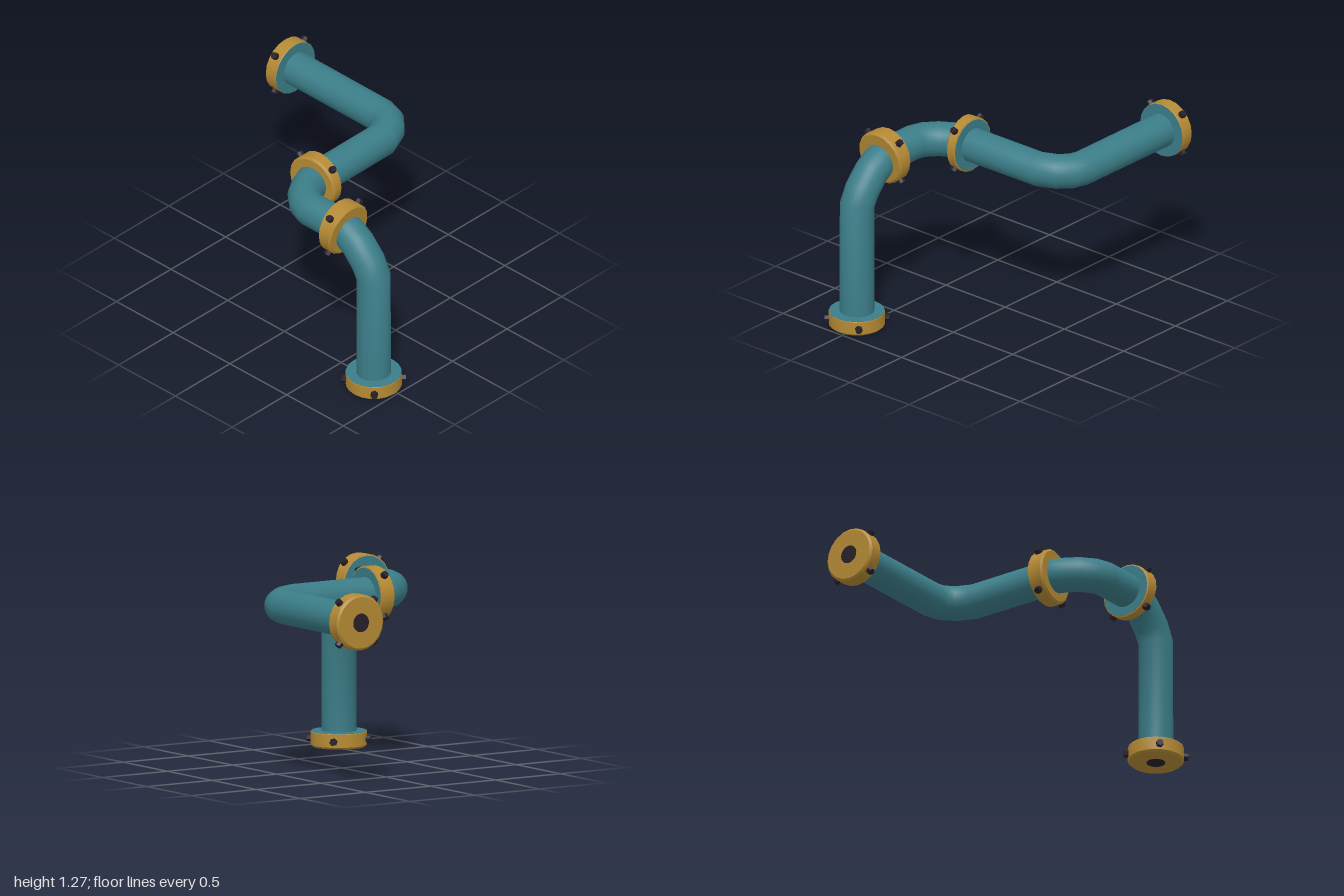
import * as THREE from 'three';
import { toCreasedNormals } from 'three/addons/utils/BufferGeometryUtils.js';

const teal = new THREE.MeshStandardMaterial({ color: 0x3b7d88 });
teal.name = 'tealPaint';
const gold = new THREE.MeshStandardMaterial({ color: 0xb58a34 });
gold.name = 'brass';
const dark = new THREE.MeshStandardMaterial({ color: 0x261f2a });
dark.name = 'darkIron';

const PIPE_R = 0.111, RIM_R = 0.18;

function part(name, geometry, material, parent) {
  const mesh = new THREE.Mesh(geometry, material);
  mesh.name = name;
  parent.add(mesh);
  return mesh;
}

// Curve with one ring per point, each ring mitred between its neighbours
class MitredPath extends THREE.Curve {
  constructor(points) {
    super();
    this.points = points;
  }
  getPointAt(u, target = new THREE.Vector3()) {
    return target.copy(this.points[Math.round(u * (this.points.length - 1))]);
  }
  getTangentAt(u, target = new THREE.Vector3()) {
    const p = this.points, i = Math.round(u * (p.length - 1));
    target.set(0, 0, 0);
    if (i > 0) target.add(p[i].clone().sub(p[i - 1]).normalize());
    if (i < p.length - 1) target.add(p[i + 1].clone().sub(p[i]).normalize());
    return target.normalize();
  }
}

// Flange with its back at local y = 0 and the pipe leaving along +y;
// lean slopes the back face along local z
function flange(name, { position, rotation = [0, 0, 0], thickness = 0.1, lean = 0, faceRadius = 0.178 }) {
  const group = new THREE.Group();
  group.name = name;
  group.position.set(...position);
  group.rotation.set(...rotation);

  // Brass rim, chamfered on the back
  const profile = [[0, 0], [0.166, 0], [RIM_R, 0.013], [RIM_R, thickness - 0.004], [faceRadius, thickness], [0, thickness]];
  const rim = new THREE.LatheGeometry(profile.map(([r, y]) => new THREE.Vector2(r, y)), 20);
  const pos = rim.attributes.position;
  for (let i = 0; i < pos.count; i++) {
    if (pos.getY(i) < thickness / 2) pos.setY(i, pos.getY(i) + lean * pos.getZ(i));
  }
  part('flangeRim', toCreasedNormals(rim, 0.42), gold, group);

  // Painted face on the pipe side
  const face = part('flangeFace', new THREE.CylinderGeometry(faceRadius, faceRadius, 0.004, 20), teal, group);
  face.position.y = thickness;

  // Dark bore on the back
  if (lean === 0) {
    const bore = part('pipeBore', new THREE.CylinderGeometry(0.06, 0.06, 0.004, 20), dark, group);
    bore.position.y = 0;
  }

  // Four hexagonal bolts pointing out of the rim
  for (let k = 0; k < 4; k++) {
    const a = Math.PI / 4 + k * Math.PI / 2;
    const dir = new THREE.Vector3(Math.cos(a), 0, Math.sin(a));
    const hex = toCreasedNormals(new THREE.CylinderGeometry(0.023, 0.027, 0.05, 6), 0.3);
    const bolt = part('bolt', hex, dark, group);
    bolt.position.copy(dir).multiplyScalar(0.181);
    bolt.position.y = thickness / 2 + lean * dir.z * RIM_R / 2;
    bolt.quaternion.setFromUnitVectors(new THREE.Vector3(0, 1, 0), dir);
  }
  return group;
}

export function createModel() {
  const model = new THREE.Group();
  model.name = 'bentPipe';

  // Pipe centreline: riser, first elbow, second elbow, third elbow, outlet
  const path = [
    [-0.535, 0.02, 0.82], [-0.535, 0.84, 0.818],
    [-0.535, 0.93, 0.77], [-0.535, 1.025, 0.68], [-0.535, 1.072, 0.608], [-0.535, 1.09, 0.54],
    [-0.535, 1.09, 0.275], [-0.512, 1.09, 0.205], [-0.448, 1.09, 0.13],
    [-0.375, 1.09, 0.085], [-0.308, 1.09, 0.06], [-0.24, 1.09, 0.056],
    [0.33, 1.09, 0.052], [0.44, 1.09, 0.004], [0.504, 1.09, -0.06], [0.528, 1.09, -0.14],
    [0.533, 1.09, -0.98],
  ].map((p) => new THREE.Vector3(...p));
  part('pipe', new THREE.TubeGeometry(new MitredPath(path), path.length - 1, PIPE_R, 28), teal, model);

  const q = Math.PI / 2;
  model.add(
    flange('baseFlange', { position: [-0.535, 0.002, 0.82] }),
    flange('firstJoint', {
      position: [-0.535, 1.09, 0.602], rotation: [-q, 0, 0], thickness: 0.097, lean: -0.13, faceRadius: 0.171,
    }),
    flange('secondJoint', {
      position: [-0.315, 1.09, 0.06], rotation: [0, 0, -q], thickness: 0.092, lean: 0.12, faceRadius: 0.171,
    }),
    flange('outletFlange', { position: [0.533, 1.09, -0.998], rotation: [q, 0, 0] }),
  );
  return model;
}
